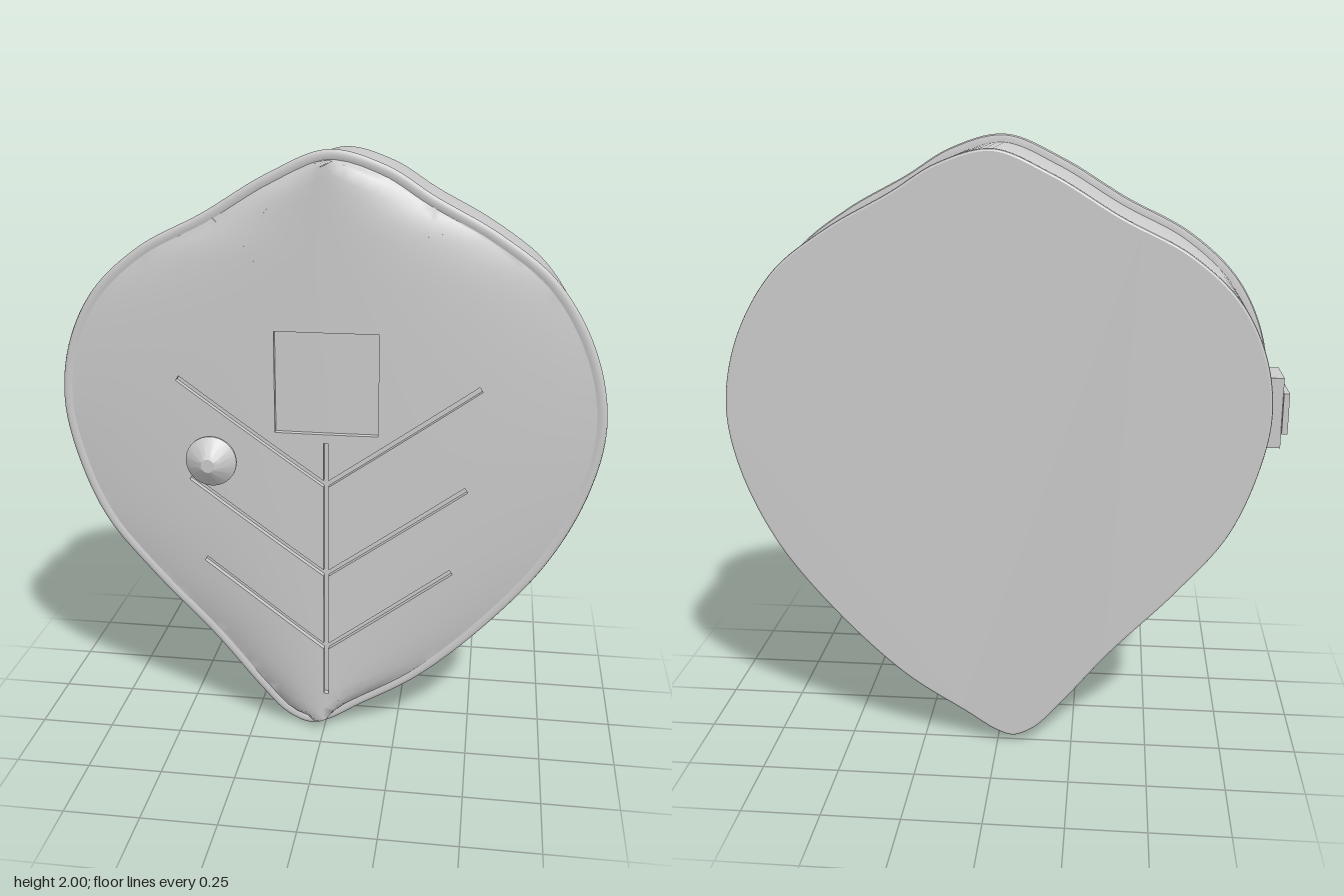
import * as THREE from 'three';
import { toCreasedNormals } from 'three/addons/utils/BufferGeometryUtils.js';

const material = new THREE.MeshStandardMaterial({ color: 0xcccccc });
const thin = new THREE.MeshStandardMaterial({ color: 0xcccccc, side: THREE.DoubleSide });
const V2 = (x, y) => new THREE.Vector2(x, y);

// Leaf outline, clockwise from the top
const outline = new THREE.CatmullRomCurve3([
  [0.01, 2], [0.19, 1.955], [0.34, 1.865], [0.54, 1.755], [0.72, 1.615], [0.85, 1.4], [0.9, 1.165],
  [0.865, 0.945], [0.75, 0.69], [0.56, 0.445], [0.325, 0.22], [0.115, 0.085], [0.015, 0.022],
  [-0.055, 0.003], [-0.14, 0.04], [-0.23, 0.135], [-0.39, 0.33], [-0.6, 0.555], [-0.76, 0.76],
  [-0.85, 0.99], [-0.88, 1.18], [-0.85, 1.37], [-0.76, 1.545], [-0.6, 1.69], [-0.39, 1.8], [-0.18, 1.925],
].map(([x, y]) => new THREE.Vector3(x, y, 0)), true, 'centripetal');

const N = 240;
const samples = Array.from({ length: N }, (_, i) => {
  const p = outline.getPointAt(i / N), t = outline.getTangentAt(i / N);
  return { p, nx: t.y, ny: -t.x };
});
const inset = (d) => samples.map(({ p, nx, ny }) => V2(p.x + nx * d, p.y + ny * d));

function geometryFrom(positions) {
  const g = new THREE.BufferGeometry();
  g.setAttribute('position', new THREE.Float32BufferAttribute(positions, 3));
  return g;
}

// Carries a profile of [inset, z] pairs, front to back, round the outline
function sweep(profile, crease) {
  const rings = profile.map(([d, z]) => inset(d).map((p) => [p.x, p.y, z]));
  const pos = [];
  for (let j = 0; j < rings.length - 1; j++) {
    for (let i = 0; i < N; i++) {
      const k = (i + 1) % N;
      const a = rings[j][i], b = rings[j][k], c = rings[j + 1][i], d = rings[j + 1][k];
      pos.push(...a, ...b, ...c, ...b, ...d, ...c);
    }
  }
  return toCreasedNormals(geometryFrom(pos), crease);
}

// Domed cover: a parabola across each row, full height along the ridge
const edge = inset(0.03);
const RIDGE = 0.005;
function domeZ(x, y) {
  let lo = RIDGE, hi = RIDGE;
  for (let i = 0; i < N; i++) {
    const a = edge[i], b = edge[(i + 1) % N];
    if ((a.y <= y) === (b.y <= y)) continue;
    const cx = a.x + (b.x - a.x) * (y - a.y) / (b.y - a.y);
    lo = Math.min(lo, cx);
    hi = Math.max(hi, cx);
  }
  const half = Math.max(0.015, x < RIDGE ? RIDGE - lo : hi - RIDGE);
  const s = Math.min(1, Math.abs(x - RIDGE) / half);
  return 0.136 + 0.054 * (1 - s * s);
}

// Fills a contour with holes, splits long edges and lifts it onto the dome
function domeSurface(contour, holes, drop) {
  const points = [contour, ...holes].flat();
  const pos = [], nor = [];
  const emit = (p) => {
    const h = 0.006;
    const n = new THREE.Vector3(
      domeZ(p.x - h, p.y) - domeZ(p.x + h, p.y),
      domeZ(p.x, p.y - h) - domeZ(p.x, p.y + h), 2 * h).normalize();
    pos.push(p.x, p.y, domeZ(p.x, p.y) - drop);
    nor.push(n.x, n.y, n.z);
  };
  const split = (a, b, c) => {
    const ab = a.distanceTo(b);
    const longest = Math.max(ab, b.distanceTo(c), c.distanceTo(a));
    if (longest < 0.05) {
      [a, b, c].forEach(emit);
    } else if (ab < longest) {
      split(b, c, a);
    } else {
      const m = a.clone().lerp(b, 0.5);
      split(a, m, c);
      split(m, b, c);
    }
  };
  for (const [i, j, k] of THREE.ShapeUtils.triangulateShape(contour, holes)) {
    const a = points[i], b = points[j], c = points[k];
    if (b.clone().sub(a).cross(c.clone().sub(a)) > 0) split(a, b, c);
    else split(a, c, b);
  }
  const g = geometryFrom(pos);
  g.setAttribute('normal', new THREE.Float32BufferAttribute(nor, 3));
  return g;
}

// Wall hanging from the dome along a closed contour
function wall(contour, bottom) {
  const pos = [];
  contour.forEach((a, i) => {
    const b = contour[(i + 1) % contour.length];
    const za = domeZ(a.x, a.y), zb = domeZ(b.x, b.y);
    const A = [a.x, a.y, za], B = [b.x, b.y, zb];
    const C = [a.x, a.y, bottom(za)], D = [b.x, b.y, bottom(zb)];
    pos.push(...A, ...B, ...C, ...B, ...D, ...C);
  });
  return toCreasedNormals(geometryFrom(pos), 0.6);
}

// Breaks a polygon's sides into short steps so that it follows the dome
function refine(poly) {
  return poly.flatMap((a, i) => {
    const b = poly[(i + 1) % poly.length];
    const n = Math.ceil(a.distanceTo(b) / 0.04);
    return Array.from({ length: n }, (_, k) => a.clone().lerp(b, k / n));
  });
}

// Vein cut-out: a spine with mirrored branches [junction y, reach, tip y]
function veins(y0, y1, branches) {
  const w = 0.008, cx = 0.012, right = [V2(w, y0)];
  for (const [jy, reach, ty] of branches) {
    right.push(V2(w, jy - 0.011), V2(reach + 0.005, ty - 0.008),
      V2(reach - 0.005, ty + 0.008), V2(w, jy + 0.011));
  }
  right.push(V2(w, y1));
  const left = right.map((p) => V2(-p.x, p.y)).reverse();
  return refine([...right, ...left].map((p) => V2(p.x + cx, p.y)));
}

export function createModel() {
  const model = new THREE.Group();
  const add = (name, geometry, mat = material, parent = model) => {
    const mesh = new THREE.Mesh(geometry, mat);
    mesh.name = name;
    parent.add(mesh);
    return mesh;
  };

  // Case: side wall and flat back (drawn mirrored, then turned to face -z)
  add('caseWall', sweep([[0.027, 0.125], [0.027, -0.268], [0.029, -0.274], [0.035, -0.277]], 0.6));
  const backShape = new THREE.Shape(inset(0.035).map((p) => V2(-p.x, p.y)));
  const back = add('caseBack', new THREE.ShapeGeometry(backShape));
  back.rotation.y = Math.PI;
  back.position.z = -0.277;

  // Rolled rim
  add('rim', sweep([[0.04, 0.134], [0.026, 0.138], [0.014, 0.141], [0.004, 0.137],
    [0, 0.126], [0.004, 0.114], [0.012, 0.112], [0.03, 0.112]], 0.9), thin);

  // Cover with vein slots and a square window
  const cuts = [
    veins(0.16, 1.08, [[0.345, 0.415, 0.64], [0.62, 0.455, 0.935], [0.94, 0.49, 1.275]]),
    veins(1.48, 1.865, [[1.515, 0.378, 1.785], [1.67, 0.192, 1.815]]),
    refine([V2(-0.155, 1.11), V2(0.18, 1.11), V2(0.18, 1.445), V2(-0.155, 1.445)]),
  ];
  const cover = new THREE.Group();
  cover.name = 'cover';
  model.add(cover);
  const DEPTH = 0.02;
  add('coverSurface', domeSurface(edge, cuts, 0), material, cover);
  add('coverFloor', domeSurface(edge, [], DEPTH), material, cover);
  add('coverEdge', wall(edge, () => 0.115), thin, cover);
  cuts.forEach((cut) => add('cutWall', wall(cut, (z) => z - DEPTH), thin, cover));

  // Knob on a short stem
  const knob = add('knob', toCreasedNormals(new THREE.LatheGeometry([
    V2(0.066, 0.15), V2(0.066, 0.222), V2(0.084, 0.222), V2(0.084, 0.23),
    V2(0.036, 0.27), V2(0.022, 0.279), V2(0, 0.279),
  ], 40), 0.5));
  knob.geometry.rotateX(Math.PI / 2);
  knob.position.set(-0.36, 1.015, 0);

  // Clasp on the side wall
  const clasp = new THREE.Group();
  clasp.name = 'clasp';
  model.add(clasp);
  add('claspBase', new THREE.BoxGeometry(0.06, 0.225, 0.15), material, clasp).position.set(-0.858, 1.172, -0.152);
  add('claspPlate', new THREE.BoxGeometry(0.018, 0.13, 0.185), material, clasp).position.set(-0.896, 1.175, -0.152);

  return model;
}
